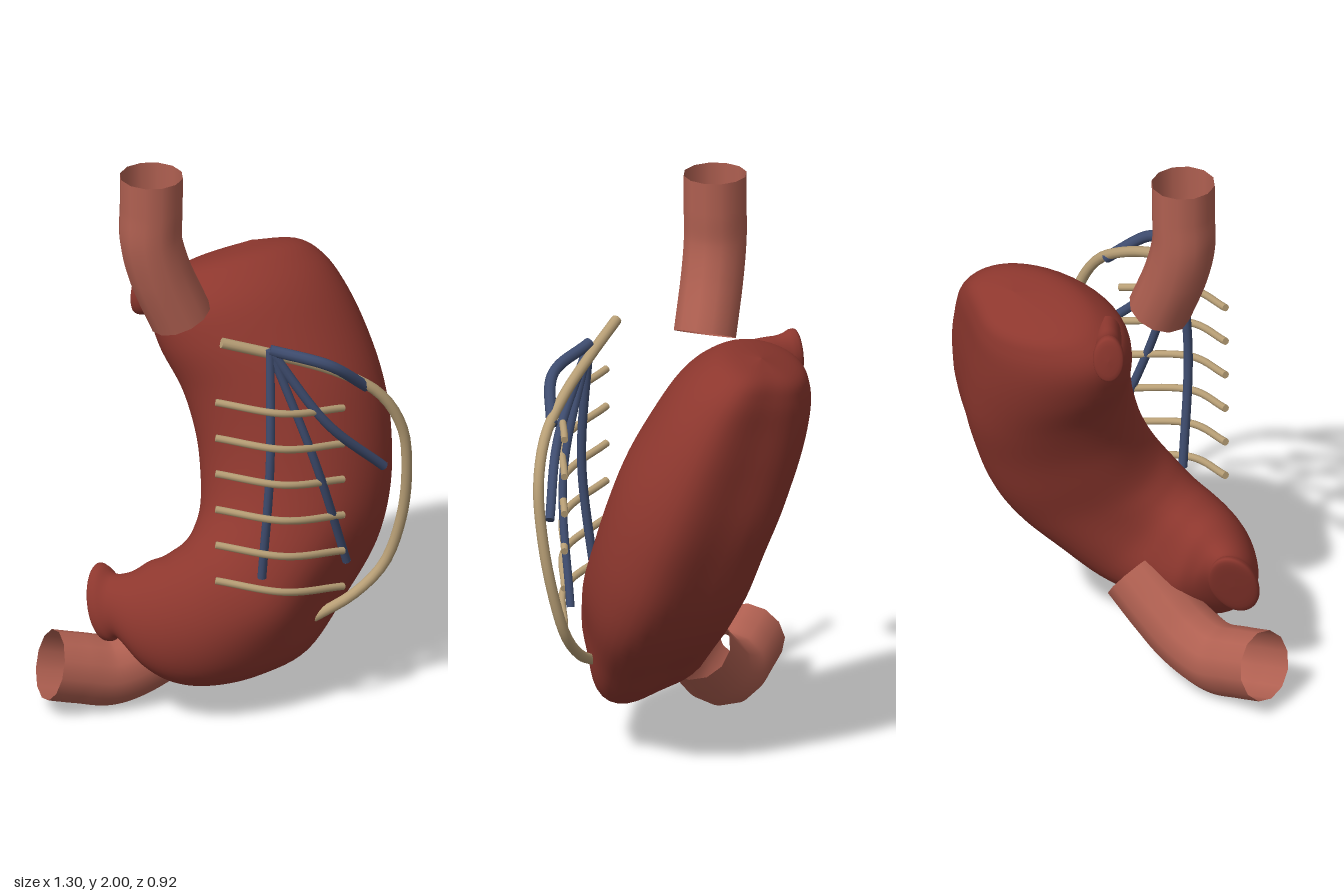
import * as THREE from 'three';

const V = (x, y, z) => new THREE.Vector3(x, y, z);

function material(name, color) {
  const m = new THREE.MeshStandardMaterial({ color, side: THREE.DoubleSide });
  m.name = name;
  return m;
}

// Smooth tube through a few points, optionally closed with flat discs
function tube(name, points, radius, mat, sides, capped) {
  const group = new THREE.Group();
  group.name = name;
  const curve = new THREE.CatmullRomCurve3(points.map(p => V(...p)));
  group.add(new THREE.Mesh(new THREE.TubeGeometry(curve, 40, radius, sides), mat));
  if (capped) {
    for (const [t, sign] of [[0, -1], [1, 1]]) {
      const cap = new THREE.Mesh(new THREE.CircleGeometry(radius, sides), mat);
      const end = curve.getPoint(t);
      cap.position.copy(end);
      cap.lookAt(end.clone().addScaledVector(curve.getTangent(t), sign));
      group.add(cap);
    }
  }
  group.children.forEach(c => { c.name = name; });
  return group;
}

// Stomach: oval sections between the inner and outer curve
// [inner x, inner y, outer x, outer y, half depth, turn, z offset]
const SECTIONS = [
  [0.23, 1.525, 0.23, 1.525, 0, 0, -0.02],
  [-0.01, 1.48, 0.39, 1.51, 0.13, 0, -0.02],
  [-0.11, 1.43, 0.475, 1.455, 0.19, 0, -0.01],
  [-0.165, 1.35, 0.535, 1.36, 0.235, 0, 0],
  [-0.145, 1.23, 0.59, 1.22, 0.265, 0, 0],
  [-0.08, 1.08, 0.63, 1.05, 0.285, 0, 0],
  [-0.05, 0.93, 0.64, 0.88, 0.285, 0, 0],
  [-0.05, 0.80, 0.615, 0.68, 0.28, 0, 0],
  [-0.07, 0.70, 0.54, 0.51, 0.268, 0, 0.015],
  [-0.11, 0.64, 0.395, 0.35, 0.25, 0, 0.035],
  [-0.15, 0.61, 0.235, 0.20, 0.232, 0, 0.05],
  [-0.20, 0.59, 0.05, 0.145, 0.215, 0, 0.057],
  [-0.24, 0.575, -0.12, 0.133, 0.195, 0.05, 0.055],
  [-0.29, 0.56, -0.25, 0.155, 0.165, 0.2, 0.04],
  [-0.35, 0.525, -0.34, 0.21, 0.12, 0.5, 0.015],
  [-0.405, 0.515, -0.405, 0.30, 0.08, 0.85, -0.01],
  [-0.435, 0.54, -0.435, 0.29, 0.084, 1.0, -0.03],
  [-0.45, 0.53, -0.452, 0.30, 0.078, 1.0, -0.055],
  [-0.453, 0.415, -0.453, 0.415, 0, 1.0, -0.06],
];

// How far a quarter of the section is flattened at t along the stomach
function flattening(t, outerSide, backSide) {
  const fade = Math.min(1, 2.4 * (1 - t));
  if (backSide) return fade * (outerSide ? 0.14 : Math.min(0.1, 0.2 * t));
  return outerSide ? 0.15 * Math.exp(-(((t - 0.53) / 0.1) ** 2)) : 0;
}

function stomachGeometry() {
  const spline = pick => new THREE.CatmullRomCurve3(SECTIONS.map(pick), false, 'catmullrom', 0.5);
  const inner = spline(s => V(s[0], s[1], 0));
  const outer = spline(s => V(s[2], s[3], 0));
  const shape = spline(s => V(s[4], s[5], s[6]));
  const rings = 108, sides = 48, pos = [], idx = [];
  for (let i = 0; i <= rings; i++) {
    const t = i / rings;
    const a = inner.getPoint(t), b = outer.getPoint(t), s = shape.getPoint(t);
    const centre = a.clone().add(b).multiplyScalar(0.5);
    centre.z = -0.055 - 0.37 * (centre.y - 0.85) + s.z;
    const across = b.clone().sub(a).multiplyScalar(0.5);
    across.z = -0.37 * across.y;
    const depth = V(-Math.sin(s.y), 0.347 * Math.cos(s.y), 0.938 * Math.cos(s.y)).multiplyScalar(s.x);
    for (let j = 0; j < sides; j++) {
      const ang = j / sides * Math.PI * 2;
      const c = Math.cos(ang), d = Math.sin(ang);
      const k = 1 - flattening(t, c > 0, d < 0) * Math.sin(2 * ang) ** 2;
      const p = centre.clone().addScaledVector(across, c * k).addScaledVector(depth, d * k);
      pos.push(p.x, p.y, p.z);
      if (i < rings) {
        const next = (j + 1) % sides, r = i * sides, n = r + sides;
        idx.push(r + j, r + next, n + j, r + next, n + next, n + j);
      }
    }
  }
  const g = new THREE.BufferGeometry();
  g.setAttribute('position', new THREE.Float32BufferAttribute(pos, 3));
  g.setIndex(idx);
  g.computeVertexNormals();
  return g;
}

export function createModel() {
  const model = new THREE.Group();
  model.name = 'stomachModel';
  const red = material('stomachRed', 0x8d372e);
  const pink = material('tubePink', 0xb06051);
  const tan = material('vesselTan', 0xb89f76);
  const blue = material('vesselBlue', 0x3f4d70);

  const stomach = new THREE.Mesh(stomachGeometry(), red);
  stomach.name = 'stomach';
  model.add(stomach);

  // Flared stub at the upper inlet
  const profile = [[0.08, -0.07], [0.078, 0], [0.075, 0.04], [0.079, 0.07], [0.087, 0.095], [0.076, 0.118], [0, 0.125]];
  const stubGeo = new THREE.LatheGeometry(new THREE.SplineCurve(profile.map(p => new THREE.Vector2(...p))).getPoints(24), 28);
  stubGeo.rotateX(Math.PI / 2);
  const stub = new THREE.Mesh(stubGeo, red);
  stub.name = 'inletStub';
  stub.position.set(-0.115, 1.395, -0.225);
  stub.scale.x = 0.62;
  stub.lookAt(-0.755, 1.475, -0.95);
  model.add(stub);

  // Open tubes above and below
  model.add(tube('oesophagus', [[-0.255, 2, 0.015], [-0.256, 1.88, 0.015], [-0.257, 1.76, 0.015],
    [-0.225, 1.63, 0.015], [-0.148, 1.445, 0.015]], 0.111, pink, 12, false));
  model.add(tube('duodenum', [[-0.625, 0.178, 0.012], [-0.525, 0.152, 0.012], [-0.41, 0.128, 0.012],
    [-0.28, 0.165, 0.012], [-0.17, 0.235, 0.012], [-0.045, 0.33, 0.012]], 0.125, pink, 12, false));

  // Long vessel around the outer curve
  model.add(tube('outerVessel', [[-0.105, 1.475, 0.325], [0.1, 1.405, 0.353], [0.3, 1.325, 0.378],
    [0.45, 1.225, 0.393], [0.535, 1.08, 0.388], [0.56, 0.9, 0.366], [0.55, 0.7, 0.333],
    [0.495, 0.52, 0.303], [0.39, 0.415, 0.288], [0.245, 0.345, 0.28]], 0.019, tan, 12, true));

  // Row of bowed cross vessels
  for (let i = 0; i < 6; i++) {
    const y = 1.275 - i * 0.137;
    model.add(tube('crossVessel' + (i + 1), [[-0.145, y, 0.375], [0.08, y - 0.047, 0.447],
      [0.327, y - 0.1, 0.365]], 0.013, tan, 10, true));
  }

  // Blue vessels fanning out from one point
  const hub = [0.058, 1.44, 0.368];
  const fan = [
    [0.02, [0.25, 1.382, 0.435], [0.405, 1.255, 0.385]],
    [0.017, [0.25, 1.15, 0.415], [0.475, 0.93, 0.368]],
    [0.015, [0.21, 1.0, 0.41], [0.35, 0.57, 0.335]],
    [0.016, [0.046, 1.0, 0.4], [0.032, 0.565, 0.355]],
  ];
  fan.forEach(([r, mid, end], i) => model.add(tube('blueVessel' + (i + 1), [hub, mid, end], r, blue, 10, true)));
  return model;
}
